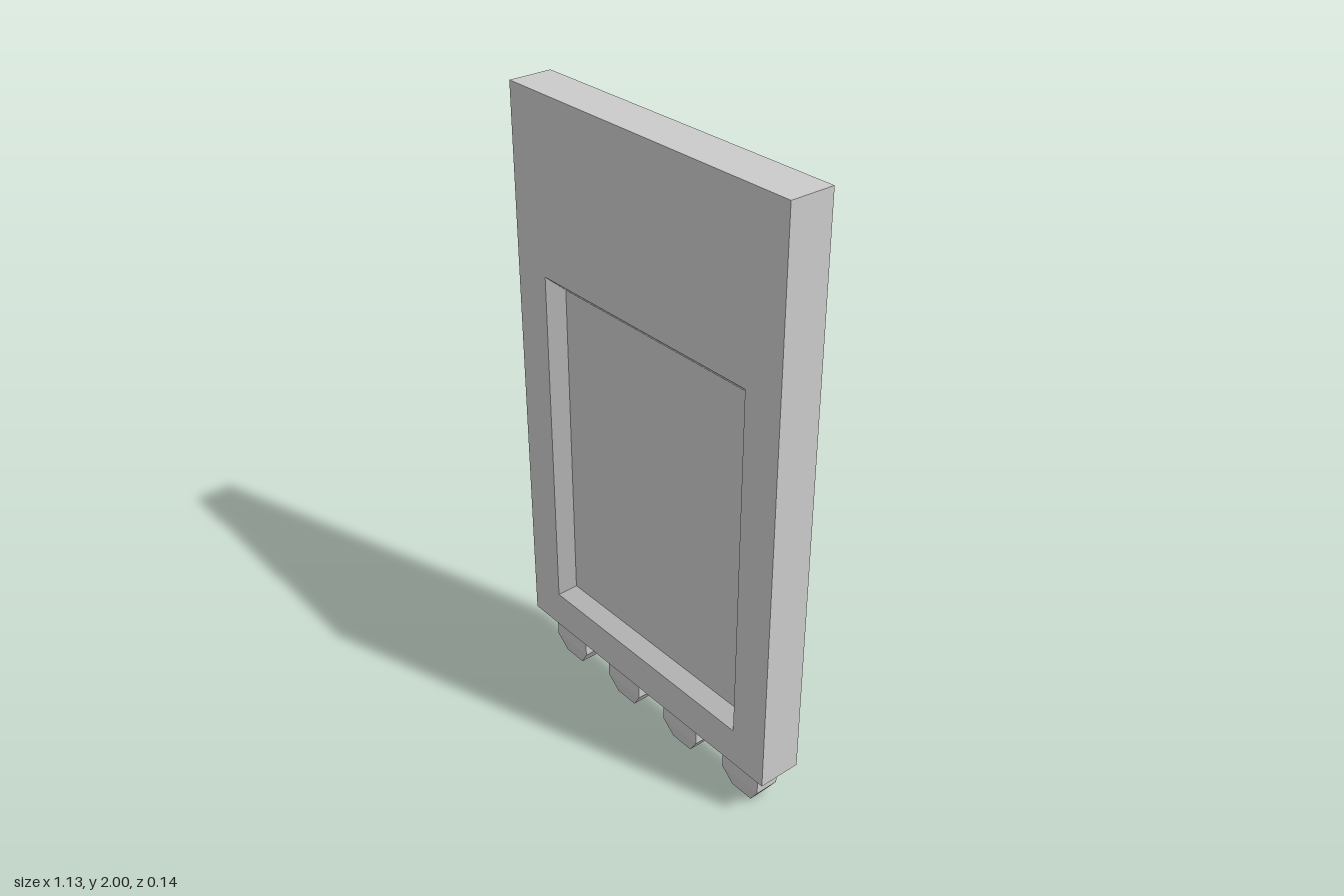
import * as THREE from 'three';

const material = new THREE.MeshStandardMaterial({ color: 0xcccccc, flatShading: true });

// Skins a run of rectangular rings [halfWidth, bottom, top, z], ordered from high z to low z, and caps both ends.
function loft(rings) {
  const pos = [];
  const corners = rings.map(([w, y0, y1, z]) => [[-w, y0, z], [w, y0, z], [w, y1, z], [-w, y1, z]]);
  const quad = (a, b, c, d) => pos.push(...a, ...b, ...c, ...a, ...c, ...d);
  for (let i = 0; i < corners.length - 1; i++) {
    const p = corners[i], q = corners[i + 1];
    for (let j = 0; j < 4; j++) {
      const k = (j + 1) % 4;
      quad(p[j], q[j], q[k], p[k]);
    }
  }
  quad(...corners[0]);
  quad(...corners[corners.length - 1].slice().reverse());
  const geometry = new THREE.BufferGeometry();
  geometry.setAttribute('position', new THREE.Float32BufferAttribute(pos, 3));
  geometry.computeVertexNormals();
  return geometry;
}

export function createModel() {
  const model = new THREE.Group();
  model.name = 'panelWithPegs';

  // Slab with a bevelled recess on the front and the back
  const half = 0.0715, floor = 0.028;
  const panel = new THREE.Mesh(loft([
    [0.393, 0.31, 1.4, floor],
    [0.434, 0.27, 1.44, half],
    [0.566, 0.143, 2, half],
    [0.566, 0.143, 2, -half],
    [0.434, 0.27, 1.44, -half],
    [0.393, 0.31, 1.4, -floor],
  ]), material);
  panel.name = 'recessedPanel';
  model.add(panel);

  // Row of four tapered pegs under the slab
  const pegGeometry = loft([
    [0.079, -0.04, 0.04, 0.143],
    [0.079, -0.04, 0.04, 0.055],
    [0.042, -0.03, 0.03, 0],
  ]).rotateX(-Math.PI / 2);
  for (let i = 0; i < 4; i++) {
    const peg = new THREE.Mesh(pegGeometry, material);
    peg.name = `peg${i + 1}`;
    peg.position.x = 0.012 + (i - 1.5) * 0.283;
    model.add(peg);
  }

  return model;
}
